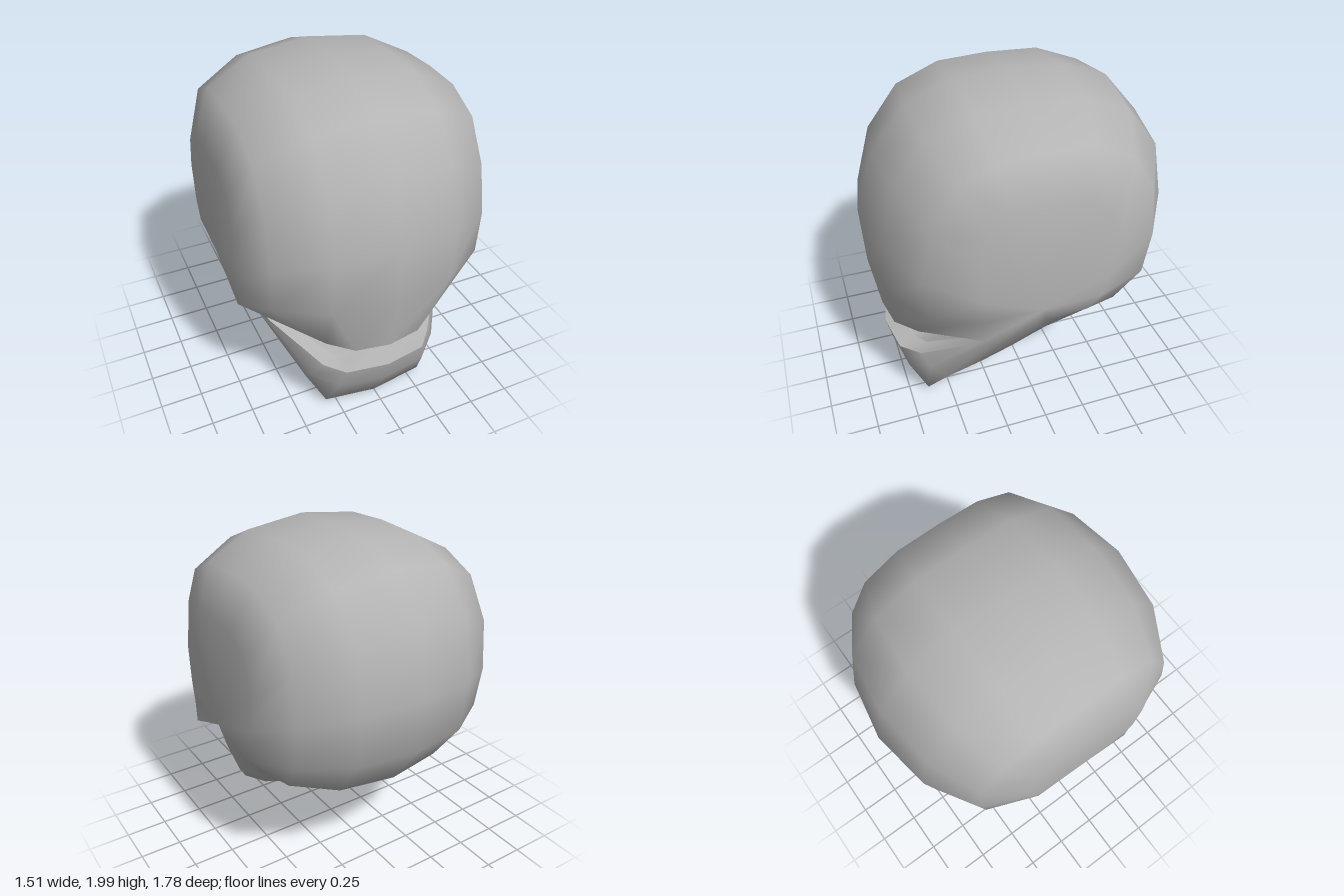
import * as THREE from 'three';
import { mergeVertices } from 'three/addons/utils/BufferGeometryUtils.js';

// Every cross-section fans out from the jaw hinge at the mouth corner.
const HINGE = [0.755, 0.91, 0.04];

// Section given by its midline point (z, y), three fractions along the way, and their half widths.
function section(z, y, t, x) {
  const pts = t.map((f, i) => [
    x[i],
    HINGE[1] + (y - HINGE[1]) * f,
    HINGE[2] + (z - HINGE[2]) * f,
  ]);
  return [HINGE, ...pts, [0, y, z]];
}

// Surface through half sections, mirrored across x = 0, smooth shaded.
function loft(sections) {
  const rows = sections.map((s) => [
    ...s,
    ...s.slice(0, -1).reverse().map(([x, y, z]) => [-x, y, z]),
  ]);
  const n = rows[0].length;
  const index = [];
  for (let i = 0; i < rows.length - 1; i++) {
    for (let j = 0; j < n - 1; j++) {
      const a = i * n + j, b = a + n;
      if (j < n - 2) index.push(b, b + 1, a + 1);
      else index.push(a, b, a + 1);
      if (j > 0 && j < n - 2) index.push(a, b, a + 1);
    }
  }
  const geo = new THREE.BufferGeometry();
  geo.setAttribute('position', new THREE.Float32BufferAttribute(rows.flat(2), 3));
  geo.setIndex(index);
  const merged = mergeVertices(geo, 1e-4);
  merged.computeVertexNormals();
  return merged;
}

export function createModel() {
  const group = new THREE.Group();
  const grey = new THREE.MeshStandardMaterial({ color: 0xb4b4b4, side: THREE.DoubleSide });
  grey.name = 'plainGrey';

  // Lip edges shared by the head shell and the mouth
  const upperLip = [HINGE, [0.747, 0.77, 0.38], [0.33, 0.55, 0.67], [0.2, 0.55, 0.79], [0, 0.55, 0.825]];
  const lowerLip = [HINGE, [0.57, 0.58, 0.38], [0.35, 0.385, 0.67], [0.25, 0.385, 0.78], [0, 0.385, 0.82]];

  const wide = [0.75, 0.635, 0.36];
  const level = [0.4, 0.74, 0.935];
  const slant = [0.5, 0.78, 0.945];
  const steep = [0.58, 0.82, 0.955];
  const top = [0.61, 0.835, 0.96];

  // Outer shell: face, crown, back of the head, then under to the chin
  const shell = loft([
    upperLip,
    section(0.88, 0.91, level, wide),
    section(0.895, 1.27, level, [0.757, 0.64, 0.36]),
    section(0.78, 1.63, slant, wide),
    section(0.575, 1.88, steep, wide),
    section(0.31, 1.985, top, wide),
    section(0, 2, top, wide),
    section(-0.32, 1.985, top, wide),
    section(-0.6, 1.88, steep, wide),
    section(-0.81, 1.63, slant, wide),
    section(-0.89, 1.27, level, [0.757, 0.64, 0.36]),
    section(-0.84, 0.92, level, wide),
    section(-0.65, 0.65, level, [0.72, 0.59, 0.34]),
    section(-0.1, 0.42, [0.35, 0.7, 0.94], [0.67, 0.55, 0.34]),
    section(0.03, 0.39, [0.4, 0.8, 0.97], [0.65, 0.52, 0.33]),
    section(0.16, 0.25, [0.35, 0.75, 0.97], [0.64, 0.49, 0.3]),
    section(0.4, 0.1, [0.35, 0.75, 0.97], [0.62, 0.45, 0.29]),
    section(0.66, 0.01, [0.4, 0.8, 0.965], [0.59, 0.41, 0.32]),
    [HINGE, [0.585, 0.57, 0.34], [0.41, 0.3, 0.63], [0.28, 0.24, 0.74], [0, 0.24, 0.785]],
    lowerLip,
  ]);
  const head = new THREE.Mesh(shell, grey);
  head.name = 'headAndJaw';

  // Rim on top of the jaw
  const innerRim = [HINGE, [0.49, 0.56, 0.36], [0.27, 0.39, 0.62], [0.18, 0.405, 0.69], [0, 0.41, 0.7]];
  const rim = new THREE.Mesh(loft([lowerLip, innerRim]), grey);
  rim.name = 'jawRim';

  // Mouth floor, back wall and palate
  const cavity = new THREE.Mesh(loft([
    innerRim,
    [HINGE, [0.5, 0.65, 0.15], [0.3, 0.5, 0.1], [0.15, 0.5, 0.1], [0, 0.5, 0.1]],
    [HINGE, [0.6, 0.86, 0.25], [0.3, 0.82, 0.4], [0.15, 0.82, 0.5], [0, 0.82, 0.5]],
    upperLip,
  ]), grey);
  cavity.name = 'mouthCavity';

  group.add(head, rim, cavity);
  return group;
}
